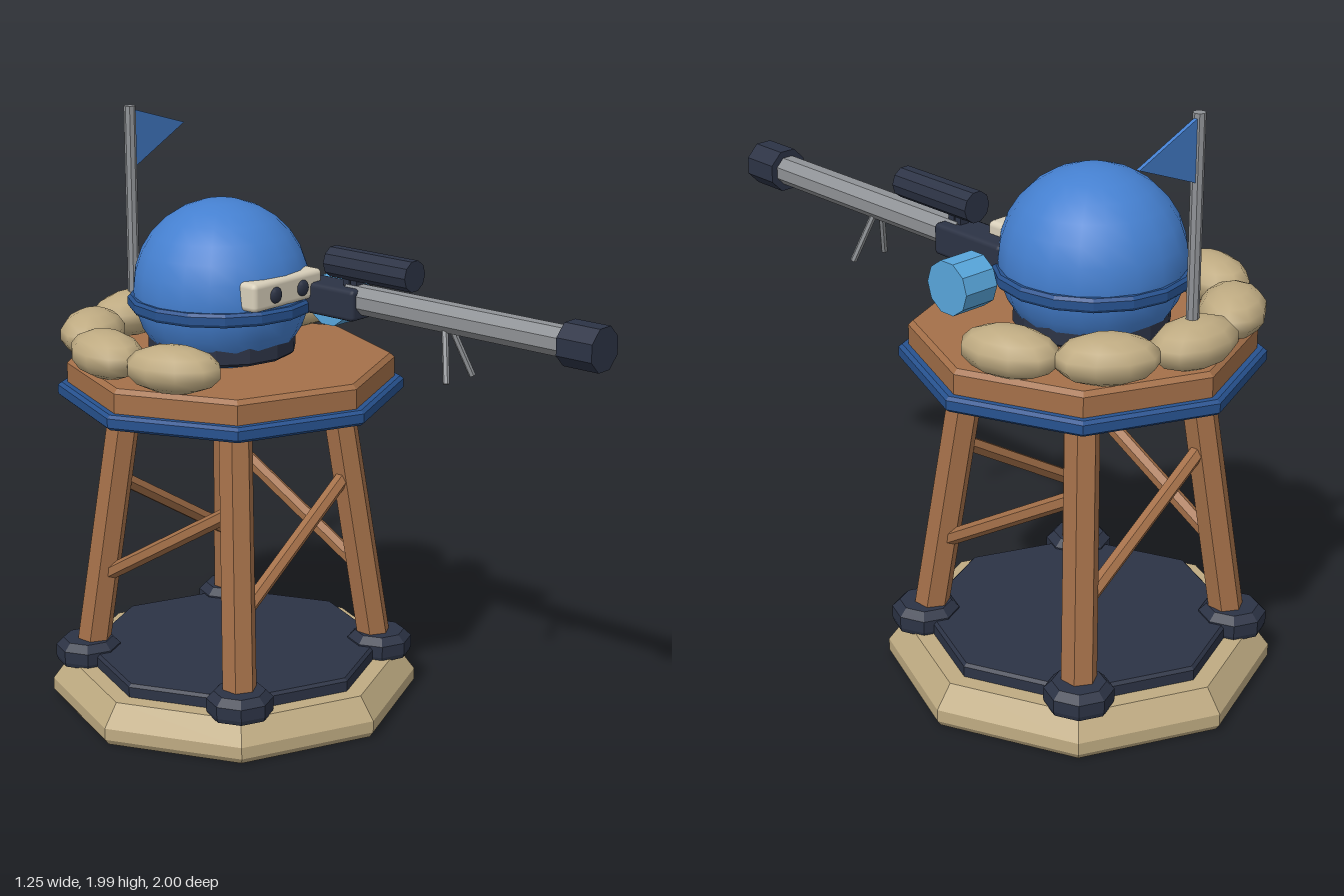
import * as THREE from 'three';
import { RoundedBoxGeometry } from 'three/addons/geometries/RoundedBoxGeometry.js';

const mat = (name, color, side = THREE.FrontSide) => {
  const m = new THREE.MeshStandardMaterial({ color, side });
  m.name = name;
  return m;
};

export function createModel() {
  const sand = mat('sand', 0xbfab82);
  const dark = mat('charcoal', 0x2c3345);
  const wood = mat('wood', 0xa47049);
  const trim = mat('navy trim', 0x27528f);
  const blue = mat('dome blue', 0x4580d0, THREE.DoubleSide);
  const steel = mat('steel', 0x8f9296);
  const sky = mat('light blue', 0x58a6dc);
  const cream = mat('cream', 0xd8cfba);

  const model = new THREE.Group();
  model.name = 'watchtower';
  const Z = -0.375; // tower axis
  const GX = 0.165; // gun axis
  const v = (x, y, z) => new THREE.Vector3(x, y, z);

  const add = (name, geo, material, x = 0, y = 0, z = 0, parent = model) => {
    const mesh = new THREE.Mesh(geo, material);
    mesh.name = name;
    mesh.position.set(x, y, z);
    parent.add(mesh);
    return mesh;
  };
  // faceted normals
  const flat = (geo) => {
    const g = geo.index ? geo.toNonIndexed() : geo;
    g.computeVertexNormals();
    return g;
  };
  // faceted solid of revolution from [radius, y] pairs, bottom to top
  const turned = (pts, sides) =>
    flat(new THREE.LatheGeometry(pts.map(([r, y]) => new THREE.Vector2(r, y)), sides));
  // straight faceted bar between two points
  const bar = (name, a, b, r0, r1, sides, material, parent = model) => {
    const d = b.clone().sub(a);
    const geo = flat(new THREE.CylinderGeometry(r1, r0, d.length(), sides));
    const mesh = add(name, geo, material, 0, 0, 0, parent);
    mesh.position.copy(a).add(b).multiplyScalar(0.5);
    mesh.quaternion.setFromUnitVectors(v(0, 1, 0), d.normalize());
    return mesh;
  };

  // Octagonal footing and floor
  add('base', turned([[0, 0], [0.61, 0], [0.625, 0.02], [0.625, 0.06], [0.57, 0.135], [0, 0.135]], 8), sand, 0, 0, Z);
  add('basePlate', turned([[0, 0.13], [0.51, 0.13], [0.51, 0.17], [0.5, 0.18], [0, 0.18]], 8), dark, 0, 0, Z);

  // Leaning legs, feet and one diagonal brace on each side
  const corners = [[-1, 1], [1, 1], [1, -1], [-1, -1]];
  const legPoint = (i, y) => {
    const [sx, sz] = corners[i % 4];
    const r = THREE.MathUtils.mapLinear(y, 0.2, 1.09, 0.34, 0.245);
    return v(sx * r, y, Z + sz * r);
  };
  const footGeo = turned([[0, 0.13], [0.105, 0.13], [0.11, 0.145], [0.11, 0.185], [0.085, 0.21], [0, 0.21]], 8);
  corners.forEach(([sx, sz], i) => {
    add('foot', footGeo, dark, sx * 0.355, 0, Z + sz * 0.355);
    bar('leg', legPoint(i, 0.17), legPoint(i, 1.09), 0.058, 0.056, 6, wood);
    bar('brace', legPoint(i, 0.43), legPoint(i + 1, 0.79), 0.026, 0.026, 6, wood);
  });

  // Platform
  add('platformTrim', turned([[0, 1.07], [0.565, 1.07], [0.577, 1.08], [0.577, 1.11], [0.565, 1.12], [0, 1.12]], 8), trim, 0, 0, Z);
  add('platformDeck', turned([[0, 1.115], [0.545, 1.115], [0.545, 1.185], [0.53, 1.2], [0, 1.2]], 8), wood, 0, 0, Z);

  // Sandbag wall around the back
  const bagGeo = new THREE.SphereGeometry(1, 10, 7);
  for (let i = 0; i < 6; i++) {
    const a = THREE.MathUtils.degToRad(73 - 36.6 * i);
    const bag = add('sandbag', bagGeo, sand, 0.463 * Math.sin(a), 1.273, Z - 0.463 * Math.cos(a));
    bag.scale.set(0.165, 0.077, 0.108);
    bag.rotation.y = -a;
  }

  // Domed head with collar and rim
  const DZ = -0.415;
  add('collar', turned([[0, 1.2], [0.235, 1.215], [0.247, 1.225], [0.247, 1.295], [0.235, 1.305], [0, 1.305]], 14), dark, 0, 0, DZ);
  add('dome', new THREE.SphereGeometry(0.295, 20, 14), blue, 0, 1.43, DZ);
  add('rim', turned([[0.28, 1.365], [0.305, 1.365], [0.312, 1.375], [0.312, 1.4], [0.303, 1.41], [0.28, 1.41]], 16), trim, 0, 0, DZ);

  // Face plate and eyes
  add('facePlate', new RoundedBoxGeometry(0.33, 0.095, 0.08, 2, 0.018), cream, 0, 1.462, -0.155);
  for (const s of [-1, 1]) {
    const eye = add('eye', new THREE.SphereGeometry(0.027, 10, 8), dark, s * 0.065, 1.46, -0.115);
    eye.scale.z = 0.45;
  }

  // Long gun pointing forward
  const gun = new THREE.Group();
  gun.name = 'gun';
  model.add(gun);
  const tube = (name, z0, z1, r, y, m, sides = 8) => {
    const mesh = bar(name, v(GX, y, z0), v(GX, y, z1), r, r, sides, m, gun);
    mesh.rotateY(Math.PI / sides);
    return mesh;
  };
  tube('barrel', 0, 0.9, 0.05, 1.43, steel);
  tube('muzzle', 0.87, 1, 0.074, 1.43, dark);
  tube('scope', -0.07, 0.27, 0.052, 1.54, dark, 10);
  add('receiver', new RoundedBoxGeometry(0.125, 0.105, 0.3, 1, 0.015), dark, GX, 1.417, -0.085, gun);
  for (const z of [0, 0.03]) add('scopeMount', new THREE.BoxGeometry(0.035, 0.05, 0.025), dark, GX, 1.48, z, gun);
  for (const s of [-1, 1]) {
    bar('bipodLeg', v(GX + s * 0.015, 1.4, 0.405), v(GX + s * 0.067, 1.235, 0.455), 0.011, 0.011, 6, steel, gun);
  }

  // Drum beside the gun
  bar('drum', v(0.273, 1.367, -0.188), v(0.4, 1.367, -0.188), 0.088, 0.088, 10, sky);

  // Flag on its pole
  bar('flagPole', v(0, 1.19, -0.83), v(0, 1.985, -0.83), 0.02, 0.02, 8, steel);
  const pennant = new THREE.Shape([[0, 1.975], [0, 1.77], [0.298, 1.888]].map(([x, y]) => new THREE.Vector2(x, y)));
  const flag = add('flag', new THREE.ExtrudeGeometry(pennant, { depth: 0.012, bevelEnabled: false }), blue, 0, 0, -0.836);
  flag.rotation.y = 0.14;

  return model;
}
